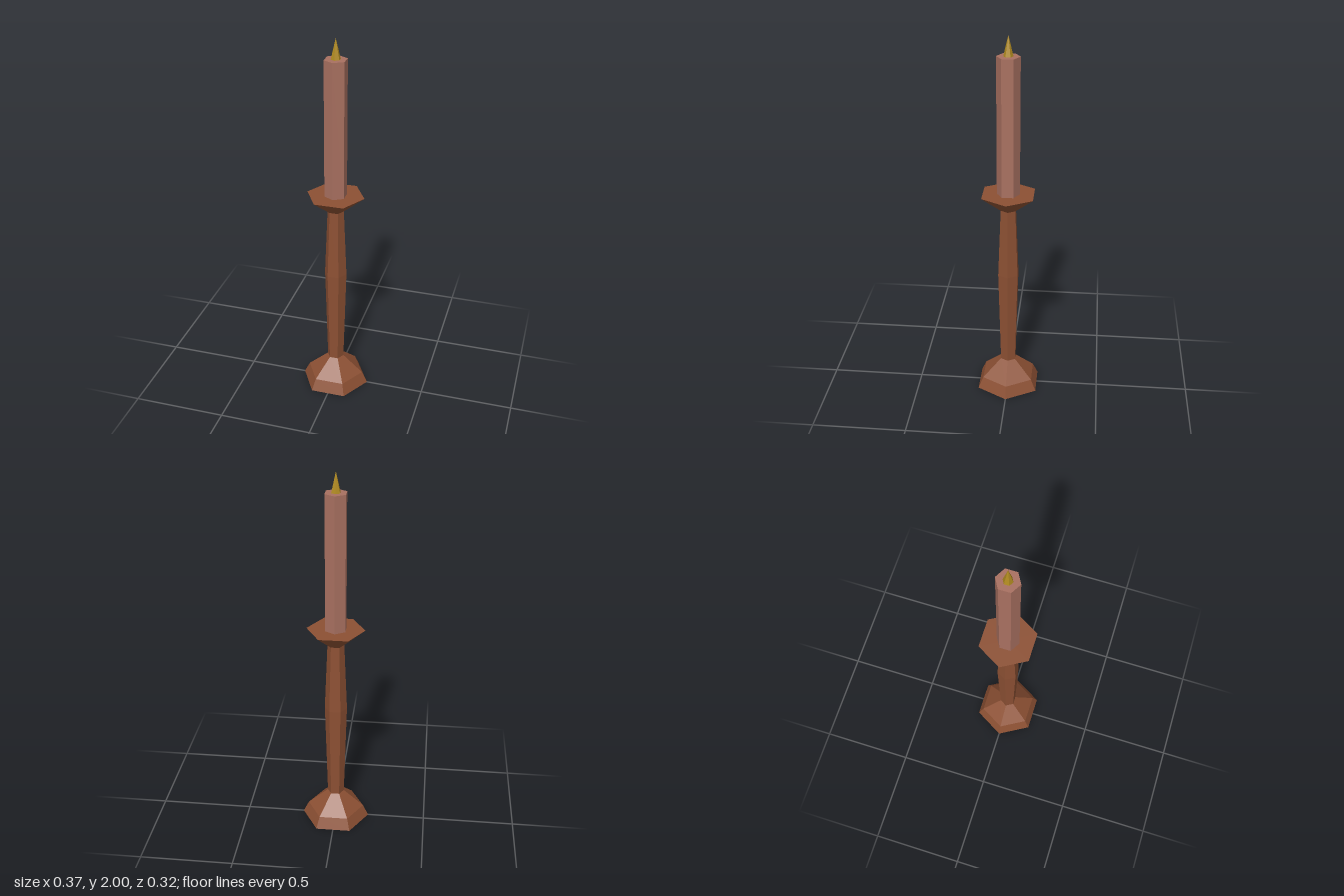
import * as THREE from 'three';

const SIDES = 6;

function material(color) {
  return new THREE.MeshStandardMaterial({ color, flatShading: true, side: THREE.DoubleSide });
}

// Six-sided turned part from [radius, height] pairs; phi = PI / 6 points the corners along x
function turned(name, profile, mat, phi = 0) {
  const points = profile.map(([r, y]) => new THREE.Vector2(r, y));
  const mesh = new THREE.Mesh(new THREE.LatheGeometry(points, SIDES, phi), mat);
  mesh.name = name;
  return mesh;
}

export function createModel() {
  const group = new THREE.Group();
  group.name = 'candlestick';
  const wood = material(0x8c5033);
  const wax = material(0xa87060);
  const gold = material(0xb08a20);
  const cornersOnX = Math.PI / 6;

  group.add(
    // Hollow foot, open underneath
    turned('base', [[0.185, 0], [0.155, 0.063], [0.045, 0.16]], wood, cornersOnX),
    // Slightly swelling stem
    turned('stem', [[0.045, 0.16], [0.06, 0.7], [0.044, 1.08]], wood, cornersOnX),
    // Flared drip tray with a flat top
    turned('dripTray', [[0.044, 1.08], [0.153, 1.168], [0, 1.168]], wood, cornersOnX),
    // Candle and pointed flame, corners along z
    turned('candle', [[0.06, 1.168], [0.06, 1.895], [0, 1.895]], wax),
    turned('flame', [[0.025, 1.895], [0, 2]], gold)
  );
  return group;
}
